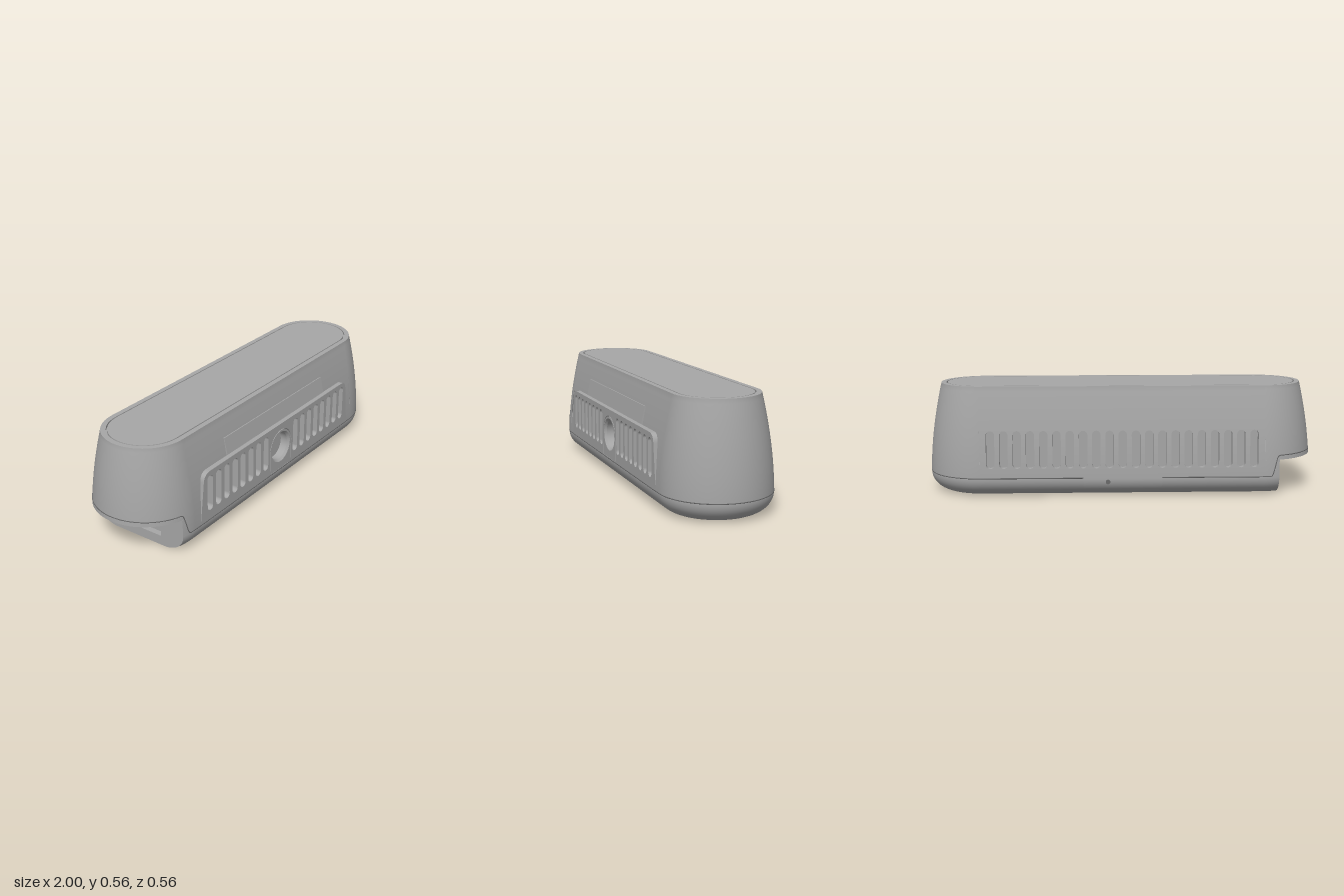
import * as THREE from 'three';

const H = 0.56, C = 0.723, CUT = 0.8, SHELF = 0.185, SEAM = 0.1;

// half depth of the stadium-shaped body at height y
function radius(y) {
  y = Math.min(H, Math.max(0, y));
  if (y < 0.095) return 0.165 + 0.112 * Math.sqrt(1 - ((0.095 - y) / 0.095) ** 2);
  return 0.277 - 0.064 * ((y - 0.095) / 0.465) ** 1.75;
}
const slope = (y) => (radius(y + 0.001) - radius(y - 0.001)) / 0.002;

// outline pieces: each gives [x, z, normalX, normalZ] points for a radius
const arc = (cx, from, to, n) => (r) => {
  const a = typeof from === 'function' ? from(r) : from, b = typeof to === 'function' ? to(r) : to;
  return Array.from({ length: n + 1 }, (_, i) => {
    const t = a + (b - a) * i / n, c = Math.cos(t), s = Math.sin(t);
    return [cx + r * c, r * s, c, s];
  });
};
const Q = Math.PI / 2;
const phi = (r) => Math.asin((CUT - C) / r);
const rightEnd = arc(C, -Q, Q, 40);
const leftEnd = arc(-C, Q, 3 * Q, 40);
const leftFront = arc(-C, Q, (r) => Q + phi(r), 6);
const leftBack = arc(-C, (r) => 3 * Q - phi(r), 3 * Q, 6);
const frontLine = (r) => [[C, r, 0, 1], [-C, r, 0, 1]];
const backLine = (r) => [[-C, -r, 0, -1], [C, -r, 0, -1]];

const rows = (a, b, n) => Array.from({ length: n + 1 }, (_, i) => a + (b - a) * i / n);
// heights bunched toward the rounded bottom edge
const baseRows = rows(0, 1, 12).map((t) => 0.095 * (1 - Math.cos(t * Q)));

// skin an outline piece over a list of heights
function loft(path, ys, offset = 0) {
  const pos = [], nor = [], idx = [];
  let n = 0;
  ys.forEach((y, j) => {
    const pts = path(radius(y) + offset, y), k = slope(y);
    n = pts.length;
    pts.forEach(([x, z, nx, nz], i) => {
      const l = Math.hypot(1, k);
      pos.push(x, y, z);
      nor.push(nx / l, -k / l, nz / l);
      if (j && i) {
        const d = j * n + i, c = d - 1, b = d - n, a = b - 1;
        idx.push(a, c, b, b, c, d);
      }
    });
  });
  const g = new THREE.BufferGeometry();
  g.setAttribute('position', new THREE.Float32BufferAttribute(pos, 3));
  g.setAttribute('normal', new THREE.Float32BufferAttribute(nor, 3));
  g.setIndex(idx);
  return g;
}

const poly = (pts) => new THREE.Shape(pts.map(([x, y]) => new THREE.Vector2(x, y)));
const extrude = (s, depth) => new THREE.ExtrudeGeometry(s, { depth, bevelEnabled: false, curveSegments: 20 });
const circle = (x, y, r) => new THREE.Path().absarc(x, y, r, 0, Math.PI * 2);

function slot(x) {
  const w = 0.0215, lo = 0.15 + w, hi = 0.34 - w, p = new THREE.Path();
  p.absarc(x, hi, w, 0, Math.PI);
  p.absarc(x, lo, w, Math.PI, Math.PI * 2);
  p.closePath();
  return p;
}
function archShape(w, bottom) {
  const s = new THREE.Shape();
  s.moveTo(-w, bottom);
  s.lineTo(w, bottom);
  s.absarc(0, 0.23, w, 0, Math.PI);
  s.closePath();
  return s;
}
function stadium(r) {
  const s = new THREE.Shape();
  s.absarc(C, 0, r, -Q, Q);
  s.absarc(-C, 0, r, Q, 3 * Q);
  s.closePath();
  return s;
}
// straight wall section with openings, bent to follow the body profile
function wall(holes) {
  const s = poly([[-C, 0.13], [C, 0.13], [C, 0.36], [-C, 0.36]]);
  s.holes.push(...holes);
  const g = extrude(s, 0.03), p = g.attributes.position, n = g.attributes.normal;
  for (let i = 0; i < p.count; i++) {
    const y = p.getY(i), k = slope(y), l = Math.hypot(1, k);
    if (n.getZ(i) > 0.9) n.setXYZ(i, 0, -k / l, 1 / l);
    p.setZ(i, p.getZ(i) + radius(y) - 0.03);
  }
  return g;
}

export function createModel() {
  const model = new THREE.Group();
  const grey = new THREE.MeshStandardMaterial({ color: 0xa6a6a6, side: THREE.DoubleSide });
  grey.name = 'casingGrey';
  const dark = new THREE.MeshStandardMaterial({ color: 0x6a6a6a });
  dark.name = 'seamGrey';
  const add = (name, geo, mat = grey) => {
    const m = new THREE.Mesh(geo, mat);
    m.name = name;
    model.add(m);
    return m;
  };

  // casing skin
  const upper = (a) => rows(a, H, 20);
  const low = [...baseRows, 0.13];
  add('rightEndShell', loft(rightEnd, [...baseRows, ...upper(SEAM)]));
  add('notchedEndShell', loft(leftEnd, upper(SHELF)));
  for (const [name, p] of [['notchFrontCorner', leftFront], ['notchBackCorner', leftBack]])
    add(name, loft(p, [...baseRows, SEAM, 0.13, 0.16, SHELF]));
  for (const [name, p] of [['front', frontLine], ['back', backLine]]) {
    add(name + 'LowerWall', loft(p, low));
    add(name + 'UpperWall', loft(p, rows(0.36, H, 8)));
  }

  // back wall with its row of vents, front wall with the grille opening
  add('backVents', wall(Array.from({ length: 21 }, (_, i) => slot((i - 10) * 0.0668)))).rotation.y = Math.PI;
  add('frontWall', wall([new THREE.Path([[-0.63, 0.14], [-0.63, 0.35], [0.63, 0.35], [0.63, 0.14]]
    .map(([x, y]) => new THREE.Vector2(x, y)))]));
  add('innerCore', new THREE.BoxGeometry(1.42, 0.26, 0.444).translate(0, 0.245, 0));

  // upright front grille
  const panel = new THREE.Shape();
  panel.moveTo(-0.68, SEAM);
  panel.lineTo(0.68, SEAM);
  panel.lineTo(0.652, 0.32);
  panel.quadraticCurveTo(0.646, 0.364, 0.6, 0.364);
  panel.lineTo(-0.6, 0.364);
  panel.quadraticCurveTo(-0.646, 0.364, -0.652, 0.32);
  panel.closePath();
  for (let i = 0; i < 8; i++) for (const s of [-1, 1]) panel.holes.push(slot(s * (0.136 + i * 0.0668)));
  panel.holes.push(archShape(0.099, 0.104));
  add('frontGrille', extrude(panel, 0.043).translate(0, 0, 0.235));

  // arched surround and round recess
  const arch = archShape(0.095, 0.106);
  arch.holes.push(circle(0, 0.23, 0.085));
  add('recessSurround', extrude(arch, 0.043).translate(0, 0, 0.235));
  const cup = [[0, 0.228], [0.075, 0.228], [0.075, 0.228], [0.075, 0.266], [0.075, 0.266], [0.085, 0.277]];
  add('roundRecess', new THREE.LatheGeometry(cup.map(([x, y]) => new THREE.Vector2(x, y)), 40)
    .rotateX(Q).translate(0, 0.23, 0));

  // shallow raised plate over the grille
  add('browPlate', extrude(poly([[0.22, 0.37], [0.26, 0.37], [0.241, 0.455], [0.21, 0.455]]), 0.88)
    .rotateY(-Q).translate(0.44, 0, 0));

  // top rim, groove and flush panel
  const rim = stadium(radius(H));
  rim.holes.push(stadium(0.187));
  add('topRim', extrude(rim, 0.015).rotateX(-Q).translate(0, H - 0.015, 0));
  add('topPanel', extrude(stadium(0.181), 0.015).rotateX(-Q).translate(0, H - 0.015, 0));
  add('topGrooveFloor', new THREE.ShapeGeometry(stadium(0.2), 20).rotateX(-Q).translate(0, H - 0.014, 0));

  // flat underside with two screw wells
  const r0 = radius(0);
  const bottom = poly([...rightEnd(r0), ...leftFront(r0), ...leftBack(r0)]);
  for (const x of [0.41, -0.56]) {
    bottom.holes.push(circle(x, 0.04, 0.026));
    add('screwWell', new THREE.CylinderGeometry(0.026, 0.026, 0.03, 24, 1, true).translate(x, 0.015, 0.04));
    add('screwWellFloor', new THREE.CircleGeometry(0.026, 24).rotateX(Q).translate(x, 0.03, 0.04));
  }
  add('underside', new THREE.ShapeGeometry(bottom, 20).rotateX(Q));

  // notch: end wall with port and small hole, and the shelf above
  const edge = [...baseRows, SEAM, 0.14, SHELF].map((y) => [Math.sqrt(radius(y) ** 2 - (CUT - C) ** 2), y]);
  const endWall = poly([...edge, ...edge.map(([z, y]) => [-z, y]).reverse()]);
  endWall.holes.push(circle(-0.135, 0.085, 0.015));
  endWall.holes.push(new THREE.Path([[-0.07, 0.05], [-0.07, 0.14], [0.13, 0.14], [0.13, 0.05]]
    .map(([x, y]) => new THREE.Vector2(x, y))));
  add('notchWall', extrude(endWall, 0.03).rotateY(-Q).translate(-CUT + 0.03, 0, 0));
  add('notchPortBack', new THREE.BoxGeometry(0.01, 0.13, 0.36).translate(-CUT + 0.036, 0.095, 0));
  const shelf = new THREE.Shape();
  shelf.absarc(-C, 0, radius(SHELF), Q, 3 * Q);
  add('notchShelf', new THREE.ShapeGeometry(shelf, 40).rotateX(Q).translate(0, SHELF, 0));

  // seam line, stepping up over the notch
  const seamY = (x) => SEAM + 0.108 * THREE.MathUtils.smoothstep(-x, 0.757, 0.8);
  const loop = [...rightEnd(0.277), ...arc(-C, Q, 3 * Q, 72)(0.277)].map(([x, , nx, nz]) => {
    const y = seamY(x), r = radius(y) - 0.001;
    return new THREE.Vector3((x > 0 ? C : -C) + r * nx, y, r * nz);
  });
  add('seam', new THREE.TubeGeometry(new THREE.CatmullRomCurve3(loop, true), 500, 0.003, 6, true), dark);

  // rear latch tab that follows the wall
  const tab = (r, y) => {
    const t = Math.min(1, Math.max(0, (0.065 - y) / 0.03, (y - 0.095) / 0.03));
    const w = 0.2 - 0.03 * (1 - Math.sqrt(1 - t * t));
    return [[-w, -r, 0, -1], [w, -r, 0, -1]];
  };
  add('rearTab', loft(tab, rows(0.035, 0.125, 18), 0.004));
  add('rearTabHole', new THREE.CylinderGeometry(0.012, 0.012, 0.006, 20).rotateX(Q)
    .translate(0.075, 0.08, -radius(0.08) - 0.003), dark);

  return model;
}
